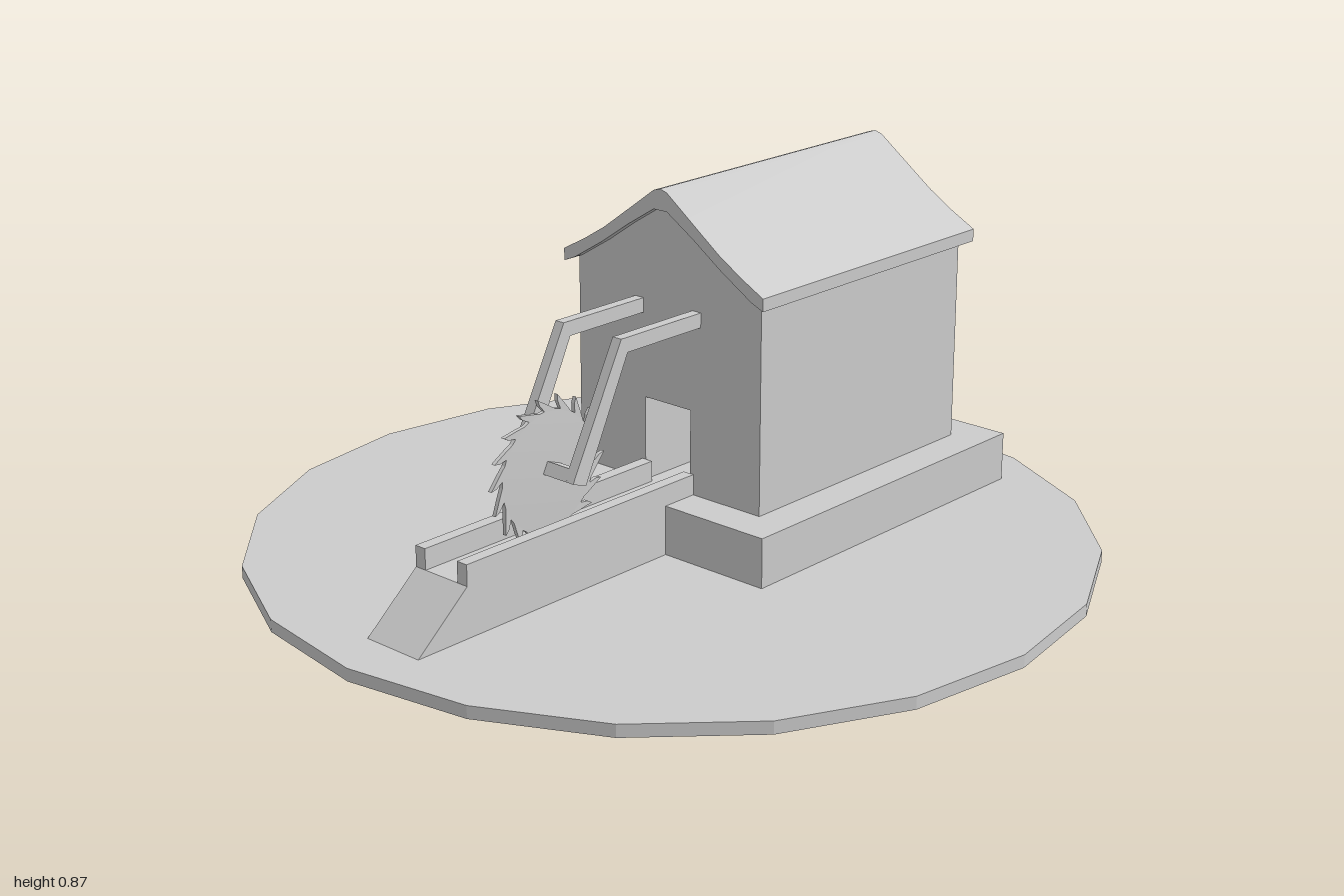
import * as THREE from 'three';
import { toCreasedNormals } from 'three/addons/utils/BufferGeometryUtils.js';

const material = new THREE.MeshStandardMaterial({ color: 0xcccccc });
const shapeOf = (pts) => new THREE.Shape(pts.map(([x, y]) => new THREE.Vector2(x, y)));
const mirrored = (half) => [...half, ...half.slice().reverse().map(([x, y]) => [-x, y])];

export function createModel() {
  const model = new THREE.Group();

  const add = (name, geometry) => {
    const mesh = new THREE.Mesh(geometry, material);
    mesh.name = name;
    model.add(mesh);
    return mesh;
  };
  const box = (name, x0, x1, y0, y1, z0, z1) =>
    add(name, new THREE.BoxGeometry(x1 - x0, y1 - y0, z1 - z0)
      .translate((x0 + x1) / 2, (y0 + y1) / 2, (z0 + z1) / 2));
  // side outline (x, y) extruded from z0 to z1
  const extrudeZ = (pts, z0, z1) =>
    new THREE.ExtrudeGeometry(shapeOf(pts), { depth: z1 - z0, bevelEnabled: false }).translate(0, 0, z0);
  // symmetric end outline (z, y) extruded from x0 to x1
  const extrudeX = (pts, x0, x1) =>
    new THREE.ExtrudeGeometry(shapeOf(pts), { depth: x1 - x0, bevelEnabled: false })
      .rotateY(Math.PI / 2).translate(x0, 0, 0);

  // round ground plate and foundation
  add('groundPlate', toCreasedNormals(
    new THREE.CylinderGeometry(1, 1, 0.03, 20).translate(0, 0.015, 0), 0.2));
  box('foundation', -0.11, 0.81, 0.02, 0.15, -0.37, 0.37);

  // house: gabled body with a doorway recess in the end wall
  const gable = [[0.28, 0.15], [0.28, 0.665], [0.18, 0.73], [0, 0.83],
    [-0.18, 0.73], [-0.28, 0.665], [-0.28, 0.15]];
  const door = [[-0.07, 0.15], [-0.07, 0.355], [0.07, 0.355], [0.07, 0.15]];
  add('houseFront', extrudeX([...gable, ...door], -0.015, 0.3));
  add('houseBody', extrudeX(gable, 0.3, 0.715));

  // roof slab, flaring slightly at the eaves
  const upper = mirrored([[0.305, 0.675], [0.24, 0.71], [0.175, 0.75], [0.1, 0.805], [0.02, 0.864]]);
  upper.splice(5, 0, [0, 0.87]);
  const lower = mirrored([[-0.305, 0.645], [-0.27, 0.66], [-0.18, 0.715], [-0.1, 0.77], [-0.02, 0.82]]);
  add('roof', toCreasedNormals(extrudeX([...upper, ...lower], -0.04, 0.74), 0.5));

  // feeding ramp with a rail on each side
  add('ramp', extrudeZ([[-0.88, 0.025], [-0.1, 0.025], [-0.1, 0.15], [-0.73, 0.15]], -0.08, 0.08));
  for (const side of [-1, 1]) {
    const z = side * 0.065;
    box('rail', -0.73, -0.015, 0.15, 0.2, z - 0.015, z + 0.015);
  }

  // bent arms holding the blade
  const arm = [[-0.01, 0.56], [-0.01, 0.595], [-0.275, 0.595], [-0.43, 0.3], [-0.39, 0.285], [-0.255, 0.56]];
  for (const side of [-1, 1]) {
    const z = side * 0.088;
    add('sawArm', extrudeZ(arm, z - 0.013, z + 0.013));
  }
  const axle = [[-0.43, 0.3], [-0.39, 0.285], [-0.376, 0.312], [-0.416, 0.327]];
  add('sawAxle', extrudeZ(axle, -0.08, 0.08));

  // circular blade with hooked teeth
  const teeth = 18, outline = [];
  const step = (Math.PI * 2) / teeth;
  for (let i = 0; i < teeth; i++) {
    for (const [offset, r] of [[0, 0.142], [0.4, 0.152], [1.0, 0.175], [0.95, 0.16], [0.7, 0.142]]) {
      const a = (i + offset) * step;
      outline.push([r * Math.cos(a), r * Math.sin(a)]);
    }
  }
  const blade = extrudeZ(outline, -0.005, 0.005);
  add('sawBlade', blade).position.set(-0.408, 0.3, 0);
  // shallow lens swelling towards the blade's centre
  const lens = new THREE.LatheGeometry([[0, -0.01], [0.14, -0.005], [0.14, 0.005], [0, 0.01]]
    .map(([r, y]) => new THREE.Vector2(r, y)), 24).rotateX(Math.PI / 2);
  add('sawDisc', toCreasedNormals(lens, 0.5)).position.set(-0.408, 0.3, 0);

  return model;
}
